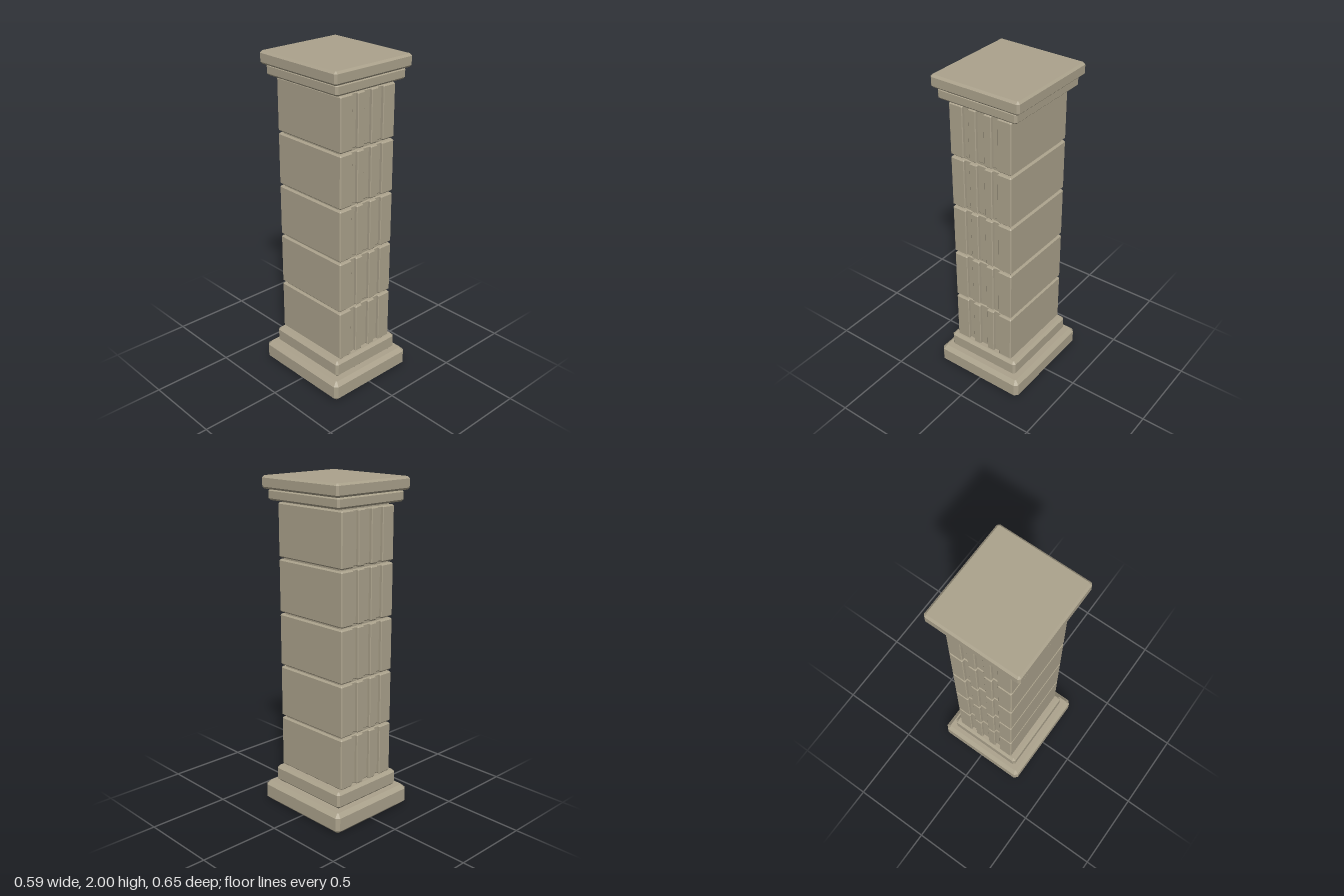
import * as THREE from 'three';

const stone = new THREE.MeshStandardMaterial({ color: 0xaba28c });
stone.name = 'sandstone';

// Plan outlines, listed counter-clockwise
function slabPlan(w, d, c) {
  return [[-w + c, -d], [w - c, -d], [w, -d + c], [w, d - c],
    [w - c, d], [-w + c, d], [-w, d - c], [-w, -d + c]];
}

// Rectangle with three shallow flutes on the front and on the back
function flutedPlan(w, d, c) {
  const depth = 0.02, e = 0.004;
  const front = [[-w, -d + c], [-w + c, -d]];
  for (const [a, b] of [[-0.114, -0.076], [-0.026, 0.026], [0.076, 0.114]]) {
    front.push([a - e, -d], [a, -d + e], [a, -d + depth], [b, -d + depth], [b, -d + e], [b + e, -d]);
  }
  front.push([w - c, -d], [w, -d + c]);
  return [...front, ...front.map(([x, y]) => [-x, -y])];
}

// Upright prism between two heights, with chamfered top and bottom edges
function prism(name, plan, y0, y1, chamfer) {
  const shape = new THREE.Shape(plan.map(([x, y]) => new THREE.Vector2(x, y)));
  const geometry = new THREE.ExtrudeGeometry(shape, {
    depth: y1 - y0 - 2 * chamfer,
    bevelEnabled: chamfer > 0,
    bevelThickness: chamfer,
    bevelSize: chamfer,
    bevelOffset: -chamfer,
    bevelSegments: 1,
  });
  geometry.rotateX(-Math.PI / 2);
  geometry.translate(0, y0 + chamfer, 0);
  const mesh = new THREE.Mesh(geometry, stone);
  mesh.name = name;
  return mesh;
}

export function createModel() {
  const pillar = new THREE.Group();
  pillar.name = 'pillar';

  // Stepped base
  pillar.add(prism('baseSlab', slabPlan(0.297, 0.326, 0.02), 0, 0.128, 0.024));
  pillar.add(prism('basePlinth', slabPlan(0.244, 0.277, 0.014), 0.128, 0.23, 0.016));

  // Inner core, seen in the joints between blocks
  pillar.add(prism('core', slabPlan(0.19, 0.234, 0.005), 0.1, 1.95, 0));

  // Fluted shaft blocks
  for (let i = 0; i < 5; i++) {
    const y = 0.231 + i * 0.3255;
    pillar.add(prism('shaftBlock' + (i + 1), flutedPlan(0.204, 0.26, 0.006), y, y + 0.315, 0.008));
  }

  // Stepped capital
  pillar.add(prism('capitalStep', slabPlan(0.257, 0.288, 0.012), 1.862, 1.926, 0.011));
  pillar.add(prism('capitalSlab', slabPlan(0.284, 0.308, 0.012), 1.926, 2, 0.012));

  return pillar;
}
